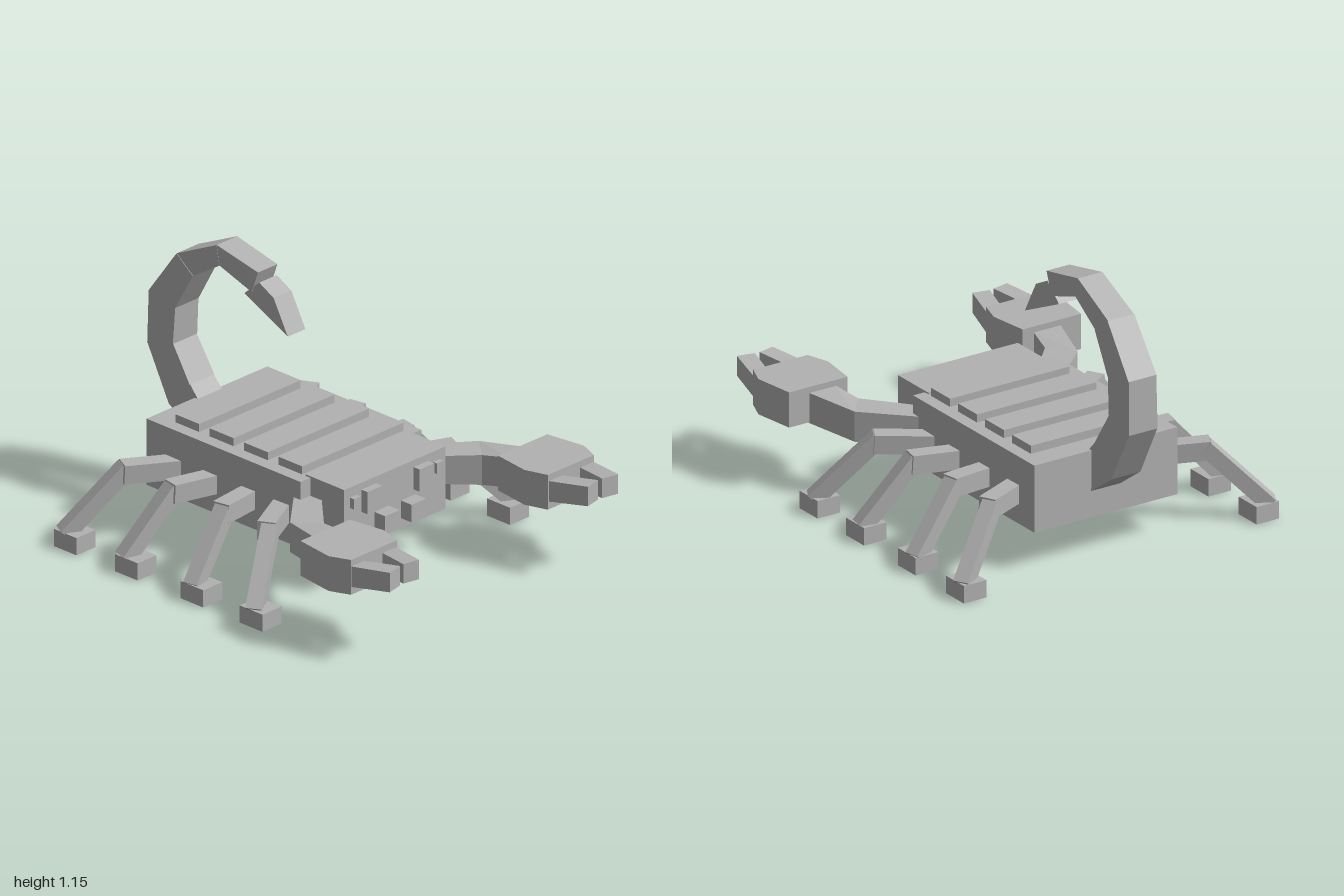
import * as THREE from 'three';
import { ConvexGeometry } from 'three/addons/geometries/ConvexGeometry.js';

const grey = new THREE.MeshStandardMaterial({ color: 0xb2b2b2 });
grey.name = 'stone grey';

export function createModel() {
  const model = new THREE.Group();
  model.name = 'scorpion';
  // The whole animal is turned a little about the vertical axis
  const root = new THREE.Group();
  root.name = 'turnedScorpion';
  root.rotation.y = THREE.MathUtils.degToRad(-8);
  root.position.set(0.01, 0, -0.3075);
  model.add(root);

  const add = (name, geometry) => {
    const mesh = new THREE.Mesh(geometry, grey);
    mesh.name = name;
    root.add(mesh);
    return mesh;
  };
  // Box from its extents on each axis
  const box = (name, x0, x1, y0, y1, z0, z1) => {
    const mesh = add(name, new THREE.BoxGeometry(x1 - x0, y1 - y0, z1 - z0));
    mesh.position.set((x0 + x1) / 2, (y0 + y1) / 2, (z0 + z1) / 2);
    return mesh;
  };
  // Square bar between two points
  const bar = (name, a, b, w, h) => {
    const p = new THREE.Vector3(...a), q = new THREE.Vector3(...b);
    const mesh = new THREE.Mesh(new THREE.BoxGeometry(w, h, p.distanceTo(q)), grey);
    mesh.name = name;
    mesh.position.copy(p).add(q).multiplyScalar(0.5);
    mesh.lookAt(q);
    root.add(mesh);
  };
  // Convex block from corner points
  const hull = (name, points) =>
    add(name, new ConvexGeometry(points.map((p) => new THREE.Vector3(...p))));
  // Block from plan corners [x, z, bottom, top], mirrored by s
  const slab = (name, s, corners) =>
    hull(name, corners.flatMap(([x, z, y0, y1]) => [[s * x, y0, z], [s * x, y1, z]]));

  // Body, head and back plates
  box('body', -0.343, 0.343, 0.166, 0.455, -0.4265, 0.4265);
  box('head', -0.2875, 0.2875, 0.19, 0.462, 0.4, 0.614);
  for (let i = 0; i < 4; i++) {
    const z = -0.255 + i * 0.19;
    box('backPlate', -0.287, 0.287, 0.45, 0.49, z - 0.066, z + 0.066);
  }

  // Tail: joints as [outer z, outer y, inner z, inner y, width]
  const joints = [
    [-0.42, 0.275, -0.37, 0.41, 0.14],
    [-0.568, 0.38, -0.454, 0.503, 0.14],
    [-0.69, 0.61, -0.548, 0.65, 0.138],
    [-0.685, 0.84, -0.538, 0.81, 0.134],
    [-0.533, 1.05, -0.442, 0.98, 0.124],
    [-0.316, 1.155, -0.3, 1.07, 0.116],
    [-0.09, 1.107, -0.125, 1.01, 0.11],
  ];
  const ring = ([oz, oy, iz, iy], w) => [-w / 2, w / 2].flatMap((x) => [[x, oy, oz], [x, iy, iz]]);
  for (let i = 0; i < joints.length - 1; i++) {
    const w = joints[i][4];
    hull('tailSegment', [...ring(joints[i], w), ...ring(joints[i + 1], w - 0.006)]);
  }
  hull('stinger', [...ring([-0.088, 1.062, -0.17, 0.99], 0.1), ...ring([-0.008, 1.02, 0.07, 0.877], 0.1)]);

  // Legs: z of hip, knee, ankle and foot
  const legs = [
    [-0.28, -0.376, -0.5, -0.474],
    [-0.075, -0.11, -0.166, -0.135],
    [0.137, 0.172, 0.215, 0.228],
    [0.321, 0.424, 0.554, 0.556],
  ];

  for (const s of [1, -1]) {
    for (const [hip, knee, ankle, foot] of legs) {
      bar('upperLeg', [s * 0.3, 0.29, hip - (knee - hip) * 0.25], [s * 0.535, 0.303, knee], 0.075, 0.08);
      bar('lowerLeg', [s * 0.51, 0.315, knee], [s * 0.735, 0.06, ankle], 0.065, 0.065);
      box('foot', s * 0.702 - 0.054, s * 0.702 + 0.054, 0, 0.075, foot - 0.063, foot + 0.063);
    }

    // Arm, claw and pincers
    slab('upperArm', s, [
      [0.31, 0.36, 0.26, 0.375], [0.535, 0.556, 0.255, 0.385],
      [0.448, 0.659, 0.255, 0.385], [0.23, 0.43, 0.26, 0.375],
    ]);
    slab('forearm', s, [
      [0.535, 0.556, 0.255, 0.385], [0.606, 0.785, 0.275, 0.405],
      [0.476, 0.785, 0.275, 0.405], [0.448, 0.659, 0.255, 0.385],
    ]);
    const palm = [[0.42, 0.775], [0.7, 0.775], [0.725, 0.955], [0.689, 1.044], [0.428, 1.044], [0.397, 0.945]];
    slab('claw', s, palm.map(([x, z]) => [x, z, 0.278, 0.43]));
    slab('innerPincer', s, [
      [0.43, 1.03, 0.31, 0.4], [0.507, 1.03, 0.31, 0.4],
      [0.552, 1.2, 0.332, 0.417], [0.479, 1.216, 0.332, 0.417],
    ]);
    slab('outerPincer', s, [
      [0.615, 1.03, 0.31, 0.4], [0.69, 1.03, 0.31, 0.4],
      [0.648, 1.219, 0.332, 0.417], [0.573, 1.203, 0.332, 0.417],
    ]);

    // Face: large eye, small eye and jaw, each as x, half width, y range, depth
    const face = [
      ['largeEye', 0.148, 0.042, 0.335, 0.432, 0.034],
      ['smallEye', 0.235, 0.019, 0.373, 0.418, 0.022],
      ['jaw', 0.075, 0.041, 0.233, 0.31, 0.06],
    ];
    for (const [name, x, r, y0, y1, d] of face) box(name, s * x - r, s * x + r, y0, y1, 0.6, 0.614 + d);
  }
  return model;
}
